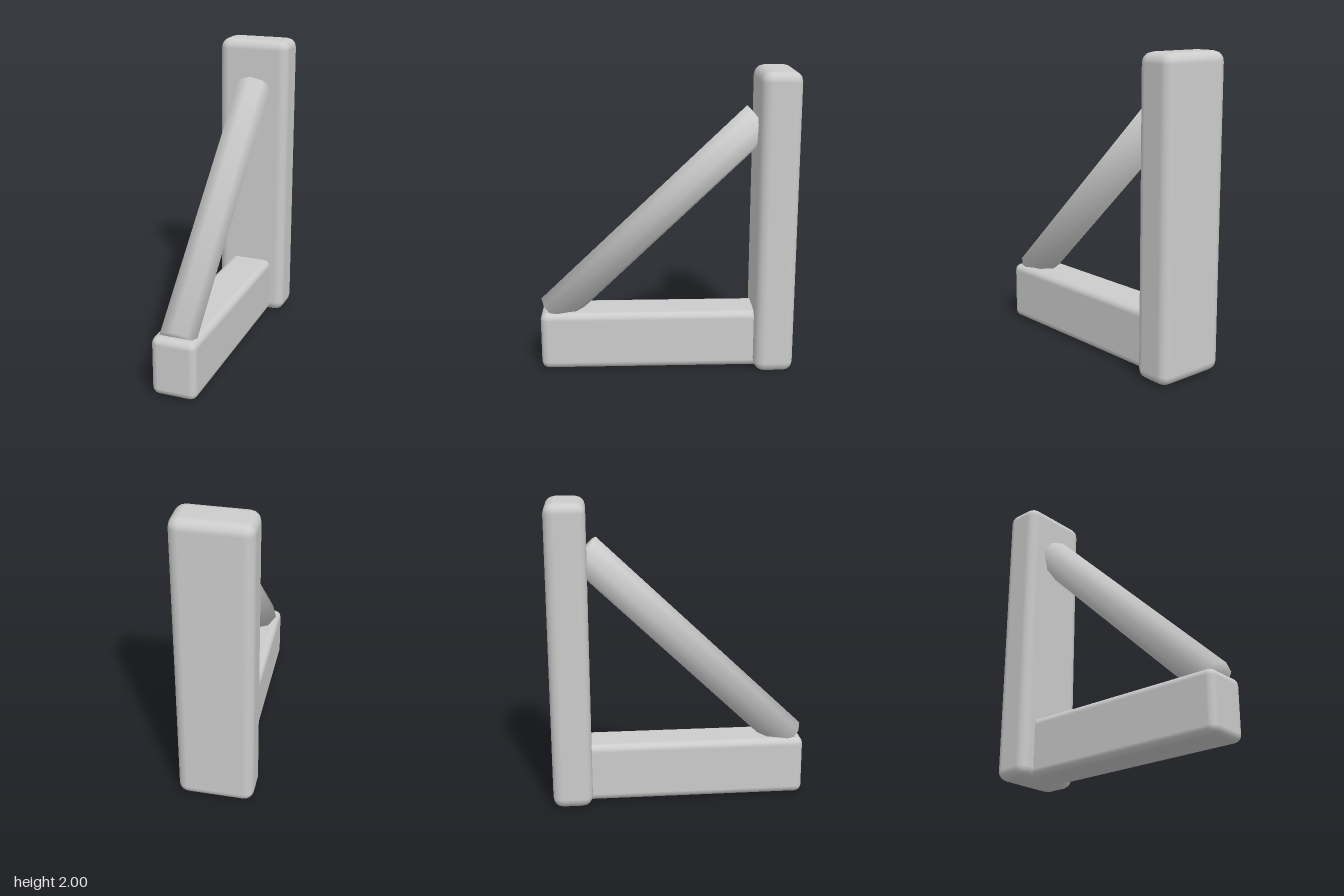
import * as THREE from 'three';
import { RoundedBoxGeometry } from 'three/addons/geometries/RoundedBoxGeometry.js';

const grey = new THREE.MeshStandardMaterial({ color: 0xcccccc });
grey.name = 'light grey';

// Bevelled timber given by its min and max corners
function timber(name, min, max, bevel) {
  const size = max.map((v, i) => v - min[i]);
  const mesh = new THREE.Mesh(new RoundedBoxGeometry(...size, 2, bevel), grey);
  mesh.position.set(...max.map((v, i) => (v + min[i]) / 2));
  mesh.name = name;
  return mesh;
}

// Eight-sided strut between two points, shaded softly over its end rims
function strut(name, from, to, radius) {
  const axis = to.clone().sub(from);
  const geometry = new THREE.CylinderGeometry(radius, radius, axis.length(), 8);
  const { position, normal } = geometry.attributes;
  const n = new THREE.Vector3();
  for (let i = 0; i < position.count; i++) {
    const x = position.getX(i) / radius;
    const z = position.getZ(i) / radius;
    n.set(x, 0.8 * Math.sign(position.getY(i)), z).normalize();
    normal.setXYZ(i, n.x, n.y, n.z);
  }
  const mesh = new THREE.Mesh(geometry, grey);
  mesh.position.copy(from).add(to).multiplyScalar(0.5);
  mesh.rotation.x = Math.atan2(axis.z, axis.y);
  mesh.name = name;
  return mesh;
}

export function createModel() {
  const model = new THREE.Group();
  model.name = 'bracket';
  model.add(
    timber('post', [-0.246, 0, -0.84], [0.246, 2, -0.58], 0.066),
    timber('beam', [-0.149, 0.007, -0.72], [0.149, 0.4, 0.84], 0.048),
    strut('brace', new THREE.Vector3(0, 0.372, 0.756), new THREE.Vector3(0, 1.672, -0.604), 0.123),
  );
  return model;
}
